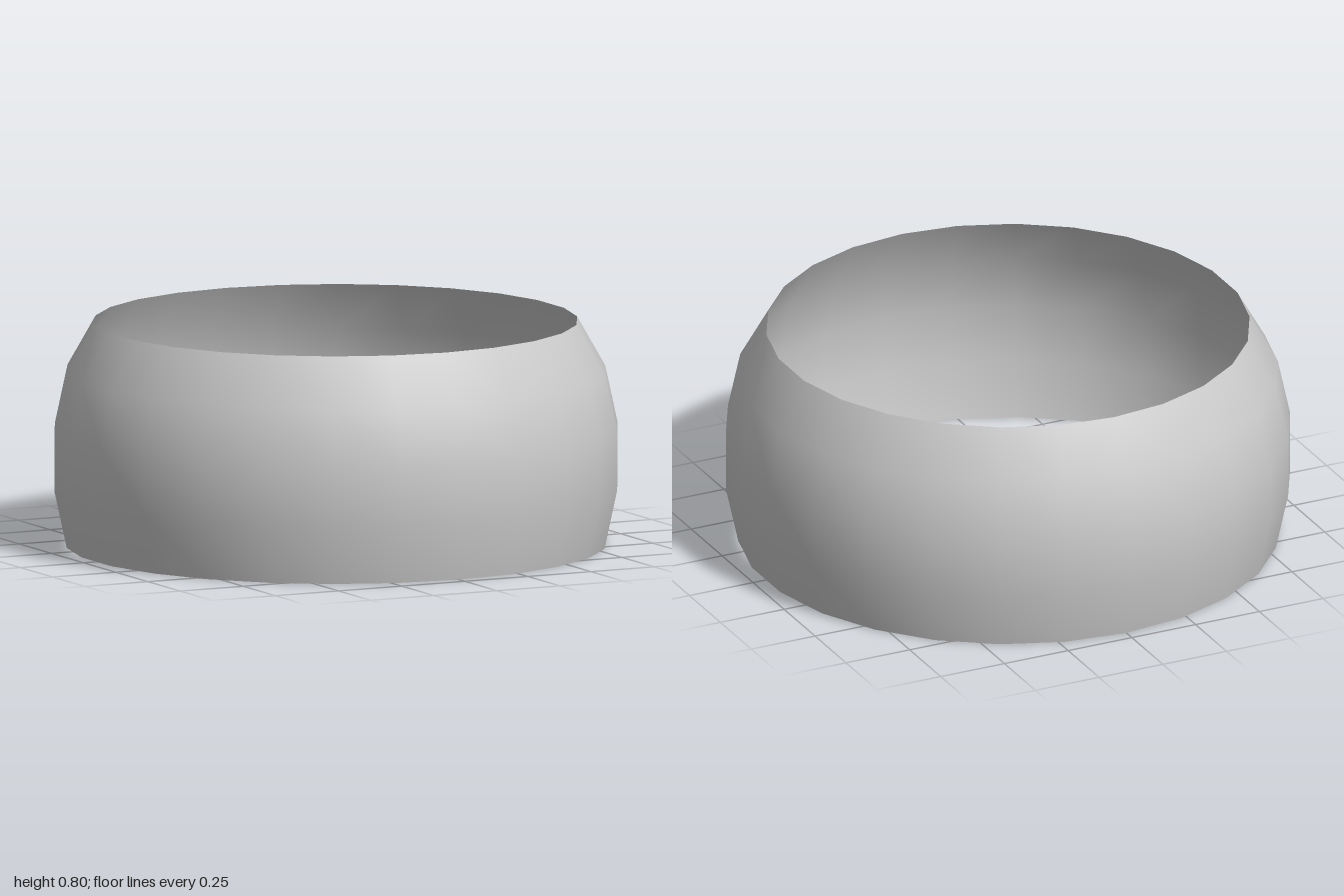
import * as THREE from 'three';

export function createModel() {
  const group = new THREE.Group();
  group.name = 'ring';

  // Thin bulging band: radius and height from the wide lower rim to the narrower upper rim
  const profile = [
    [0.956, 0], [1, 0.205], [1, 0.415], [0.956, 0.62], [0.856, 0.797],
  ].map(([r, y]) => new THREE.Vector2(r, y));

  const band = new THREE.Mesh(
    new THREE.LatheGeometry(profile, 26),
    new THREE.MeshStandardMaterial({ color: 0xcccccc, side: THREE.DoubleSide }),
  );
  band.name = 'band';
  group.add(band);
  return group;
}
